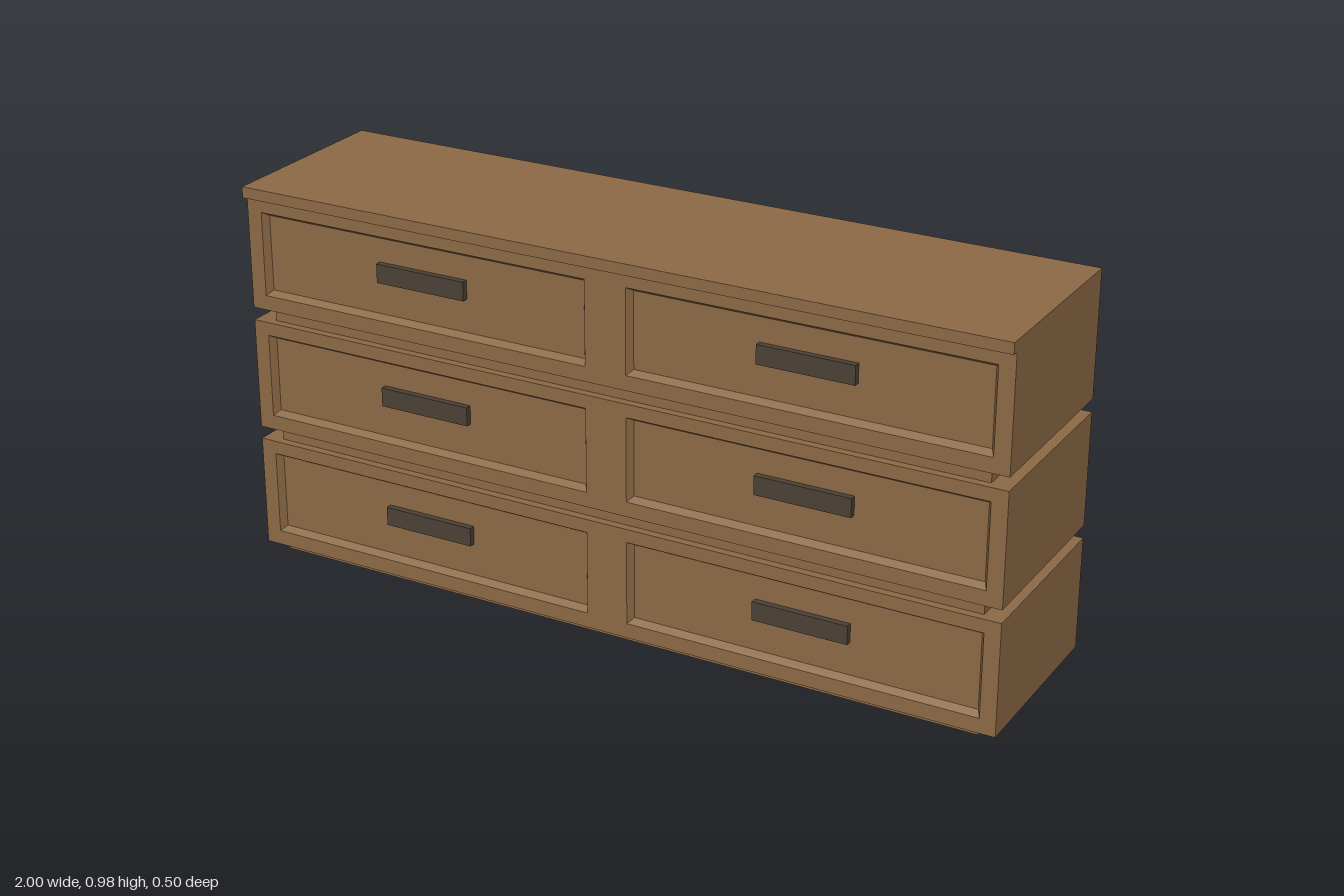
import * as THREE from 'three';

const BACK = -0.25, FRONT = 0.233, RECESS = 0.018;
const DRAWER = { cx: 0.507, w: 0.906, h: 0.215, bottom: 0.038, bevel: 0.011 };

export function createModel() {
  const wood = new THREE.MeshStandardMaterial({ color: 0x8b6845 });
  wood.name = 'brownWood';
  const dark = new THREE.MeshStandardMaterial({ color: 0x4a4035 });
  dark.name = 'darkHandle';

  const chest = new THREE.Group();
  chest.name = 'dresser';

  const add = (parent, name, geometry, material) => {
    const mesh = new THREE.Mesh(geometry, material);
    mesh.name = name;
    parent.add(mesh);
    return mesh;
  };
  // Box given by its width (centred on x = cx), y range and z range
  const box = (parent, name, material, cx, w, y0, y1, z0, z1) =>
    add(parent, name, new THREE.BoxGeometry(w, y1 - y0, z1 - z0), material)
      .position.set(cx, (y0 + y1) / 2, (z0 + z1) / 2);

  // Rectangle corners, counter-clockwise from lower left
  const corners = (cx, cy, w, h) => [[-1, -1], [1, -1], [1, 1], [-1, 1]]
    .map(([sx, sy]) => new THREE.Vector2(cx + sx * w / 2, cy + sy * h / 2));

  // Sloping rim from the front face down to the drawer panel
  const rimGeometry = (cx, cy) => {
    const { w, h, bevel } = DRAWER;
    const outer = corners(cx, cy, w, h);
    const inner = corners(cx, cy, w - 2 * bevel, h - 2 * bevel);
    const pos = [];
    const put = (p, z) => pos.push(p.x, p.y, z);
    for (let i = 0; i < 4; i++) {
      const j = (i + 1) % 4;
      put(outer[i], FRONT); put(outer[j], FRONT); put(inner[j], FRONT - RECESS);
      put(outer[i], FRONT); put(inner[j], FRONT - RECESS); put(inner[i], FRONT - RECESS);
    }
    const g = new THREE.BufferGeometry();
    g.setAttribute('position', new THREE.Float32BufferAttribute(pos, 3));
    g.computeVertexNormals();
    return g;
  };

  // Three stacked tiers, each on a set-back plinth
  [[0.018, 0.305], [0.338, 0.625], [0.658, 0.947]].forEach(([y0, y1], tierIndex) => {
    const tier = new THREE.Group();
    tier.name = `tier${tierIndex + 1}`;
    chest.add(tier);

    const plinthBottom = tierIndex === 0 ? 0 : y0 - 0.033;
    box(tier, 'plinth', wood, 0, 1.9, plinthBottom, y0, -0.23, 0.212);
    box(tier, 'carcass', wood, 0, 2, y0, y1, BACK, FRONT - RECESS);

    // Front frame with an opening for each drawer
    const cy = y0 + DRAWER.bottom + DRAWER.h / 2;
    const frame = new THREE.Shape(corners(0, (y0 + y1) / 2, 2, y1 - y0));
    for (const side of [-1, 1]) {
      const hole = corners(side * DRAWER.cx, cy, DRAWER.w, DRAWER.h);
      frame.holes.push(new THREE.Path(hole.reverse()));
    }
    const frameGeometry = new THREE.ExtrudeGeometry(frame, { depth: RECESS, bevelEnabled: false });
    add(tier, 'frontFrame', frameGeometry, wood).position.z = FRONT - RECESS;

    // Drawer rims and bar handles
    for (const side of [-1, 1]) {
      const label = side > 0 ? 'left' : 'right';
      const cx = side * DRAWER.cx;
      add(tier, `${label}DrawerRim`, rimGeometry(cx, cy), wood);
      box(tier, `${label}Handle`, dark, cx, 0.244, cy - 0.0, cy + 0.0 + 0.048, FRONT - RECESS, FRONT - 0.002);
      tier.getObjectByName(`${label}Handle`).position.y = cy + 0.012;
    }
  });

  // Overhanging top board
  box(chest, 'topBoard', wood, 0, 2, 0.947, 0.975, BACK, 0.25);

  return chest;
}
